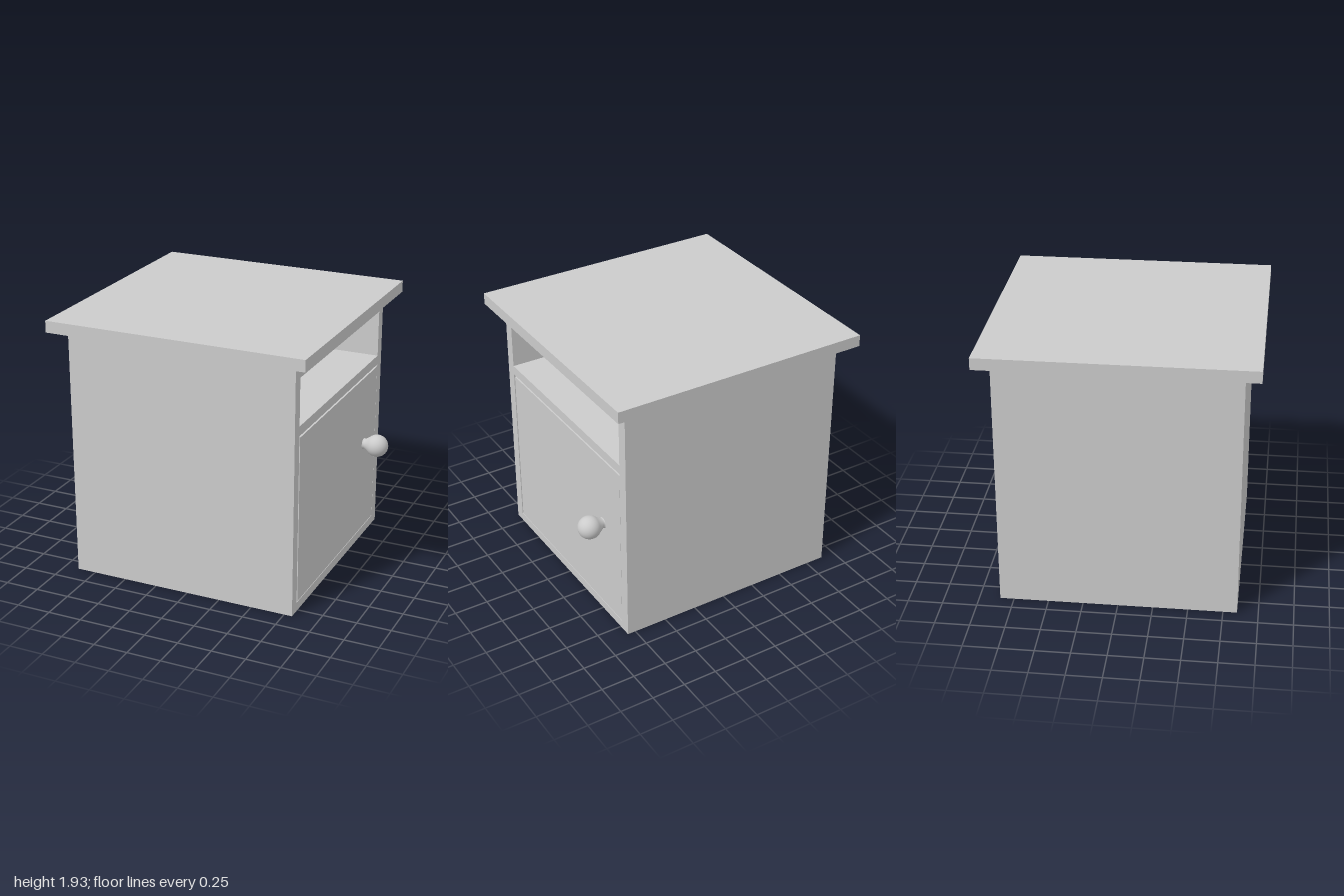
import * as THREE from 'three';

const material = new THREE.MeshStandardMaterial({ color: 0xcccccc });

function add(group, name, geometry, x = 0, y = 0, z = 0) {
  const mesh = new THREE.Mesh(geometry, material);
  mesh.name = name;
  mesh.position.set(x, y, z);
  group.add(mesh);
  return mesh;
}

// Box given by its limits on each axis
function addBox(group, name, [x0, x1], [y0, y1], [z0, z1]) {
  return add(group, name, new THREE.BoxGeometry(x1 - x0, y1 - y0, z1 - z0),
    (x0 + x1) / 2, (y0 + y1) / 2, (z0 + z1) / 2);
}

function rectangle(PathType, halfWidth, y0, y1) {
  return new PathType([
    new THREE.Vector2(-halfWidth, y0), new THREE.Vector2(halfWidth, y0),
    new THREE.Vector2(halfWidth, y1), new THREE.Vector2(-halfWidth, y1),
  ]);
}

export function createModel() {
  const cabinet = new THREE.Group();
  cabinet.name = 'bedsideCabinet';

  // Carcass: open shelf niche above a door compartment, running back along x
  const outline = rectangle(THREE.Shape, 0.85, 0, 1.85);
  outline.holes.push(rectangle(THREE.Path, 0.77, 0.065, 1.32));
  outline.holes.push(rectangle(THREE.Path, 0.77, 1.39, 1.735));
  const carcass = new THREE.ExtrudeGeometry(outline, { depth: 1.62, bevelEnabled: false });
  carcass.rotateY(Math.PI / 2);
  add(cabinet, 'carcass', carcass, -0.81);
  addBox(cabinet, 'backPanel', [-0.89, -0.81], [0, 1.85], [-0.85, 0.85]);

  // Overhanging top
  addBox(cabinet, 'topBoard', [-1, 0.92], [1.85, 1.935], [-0.96, 0.96]);

  // Inset door, flush with the carcass, with a narrow gap round it
  addBox(cabinet, 'door', [0.73, 0.81], [0.07, 1.305], [-0.768, 0.756]);

  // Round knob on a short flared neck
  const profile = [new THREE.Vector2(0.042, 0), new THREE.Vector2(0.037, 0.012)];
  const radius = 0.084, centre = 0.106, steps = 16, start = 0.8;
  for (let i = 0; i <= steps; i++) {
    const a = start + (Math.PI - start) * i / steps;
    profile.push(new THREE.Vector2(
      i === steps ? 0 : radius * Math.sin(a), centre - radius * Math.cos(a)));
  }
  const knob = add(cabinet, 'doorKnob', new THREE.LatheGeometry(profile, 32), 0.81, 0.772, -0.523);
  knob.rotation.z = -Math.PI / 2;

  return cabinet;
}
